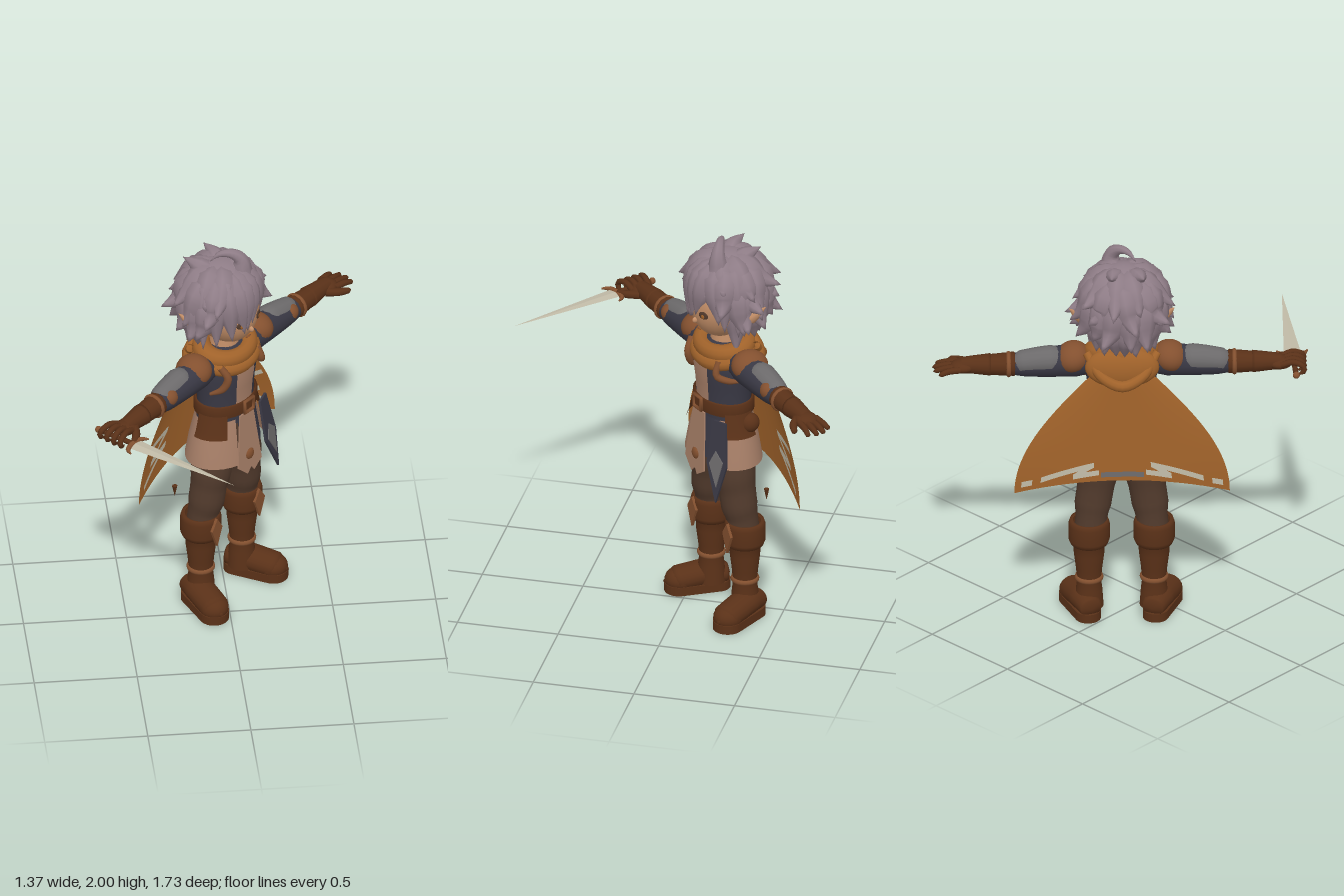
import * as THREE from 'three';
import { mergeVertices } from 'three/addons/utils/BufferGeometryUtils.js';

const mat = (name, color) => new THREE.MeshStandardMaterial({ name, color, side: THREE.DoubleSide });
const M = {
  hair: mat('mauve hair', 0x8f7d87), skin: mat('skin', 0xc48f68), orange: mat('orange cloth', 0xa0622a),
  leather: mat('dark leather', 0x5a3118), lightLeather: mat('light leather', 0x83502f), pants: mat('brown trousers', 0x513a2c),
  navy: mat('navy cloth', 0x393844), tan: mat('tan cloth', 0xa67e67), grey: mat('grey cloth', 0x6c6a6b),
  blade: mat('pale steel', 0xc0baa6),
};
const V = (p) => new THREE.Vector3(...p);

export function createModel() {
  const root = new THREE.Group();
  root.name = 'caped adventurer';
  const body = new THREE.Group();
  body.name = 'body';
  body.position.z = -0.2;
  body.rotation.y = Math.PI / 4;
  root.add(body);

  const add = (name, geo, m, pos = [0, 0, 0], scale = [1, 1, 1], rot = [0, 0, 0], parent = body) => {
    const mesh = new THREE.Mesh(geo, m);
    mesh.name = name;
    mesh.position.set(...pos); mesh.scale.set(...scale); mesh.rotation.set(...rot);
    parent.add(mesh);
    return mesh;
  };
  // Tube along points, with a radius for every point
  const limb = (pts, radii, seg = 12, sides = 10) => {
    const curve = new THREE.CatmullRomCurve3(pts.map(V));
    const g = new THREE.TubeGeometry(curve, seg, 1, sides);
    const p = g.attributes.position, v = new THREE.Vector3();
    for (let i = 0; i < p.count; i++) {
      const t = Math.floor(i / (sides + 1)) / seg;
      const f = curve.getUtoTmapping(t) * (radii.length - 1), k = Math.min(Math.floor(f), radii.length - 2);
      const r = THREE.MathUtils.lerp(radii[k], radii[k + 1], f - k), c = curve.getPointAt(t);
      v.fromBufferAttribute(p, i).sub(c).multiplyScalar(r).add(c);
      p.setXYZ(i, v.x, v.y, v.z);
    }
    g.deleteAttribute('uv'); g.deleteAttribute('normal');
    const out = mergeVertices(g, 1e-5);
    out.computeVertexNormals();
    return out;
  };
  const lathe = (pts, start = 0, len = Math.PI * 2) =>
    new THREE.LatheGeometry(pts.map((p) => new THREE.Vector2(...p)), 28, start, len);
  const ball = new THREE.SphereGeometry(1, 24, 16);
  const plate = (pts, depth) => new THREE.ExtrudeGeometry(
    new THREE.Shape(pts.map((p) => new THREE.Vector2(...p))), { depth, bevelEnabled: false });
  // Grid surface from fn(s, t)
  const sheet = (fn, n, m) => {
    const g = new THREE.PlaneGeometry(1, 1, n, m), p = g.attributes.position;
    for (let i = 0; i < p.count; i++) p.setXYZ(i, ...fn(p.getX(i) + 0.5, 0.5 - p.getY(i)));
    g.computeVertexNormals();
    return g;
  };
  let seed = 7;
  const rnd = () => { seed = (seed * 16807) % 2147483647; return seed / 2147483647 - 0.5; };

  // Torso, chest panel, tunic skirt and belt
  const flat = [1, 1, 0.77], skirtFlat = [1, 1, 0.74];
  add('tunic', lathe([[0.16, 1.05], [0.158, 1.15], [0.163, 1.25], [0.175, 1.33], [0.165, 1.4], [0.1, 1.46], [0, 1.48]]), M.navy, [0, 0, 0], flat);
  add('chestPanel', lathe([[0.164, 1.1], [0.163, 1.17], [0.169, 1.25], [0.181, 1.33], [0.17, 1.4]], -0.38, 0.72), M.tan, [0, 0, 0], flat);
  add('skirt', lathe([[0.23, 0.84], [0.208, 0.95], [0.172, 1.08]], 0.75, Math.PI * 2 - 1.15), M.tan, [0, 0, 0], skirtFlat);
  add('skirtLining', lathe([[0.2, 0.87], [0.165, 1.08]], -0.3, 1.2), M.navy, [0, 0, 0], skirtFlat);
  for (const start of [-1.7, 0.95])
    add('hipFlap', lathe([[0.215, 1.0], [0.203, 1.03], [0.18, 1.12]], start, 1.0), M.leather, [0, 0, 0], flat);
  add('belt', lathe([[0.165, 1.1], [0.178, 1.105], [0.178, 1.165], [0.165, 1.17]]), M.leather, [0, 0, 0], flat);
  add('buckle', new THREE.TorusGeometry(0.045, 0.01, 6, 4).rotateZ(Math.PI / 4), M.lightLeather, [0, 1.145, 0.147]);
  add('buckleCentre', new THREE.BoxGeometry(0.045, 0.04, 0.012), M.leather, [0, 1.145, 0.142]);
  add('frontPanel', plate([[-0.055, 0], [0.045, 0], [0.08, -0.3], [0.02, -0.34], [0, -0.31], [-0.03, -0.34], [-0.095, -0.28]], 0.008), M.tan, [0, 1.1, 0.13], [1, 1, 1], [-0.08, 0, 0]);
  add('panelMedallion', new THREE.SphereGeometry(0.03, 8, 6), M.lightLeather, [-0.005, 0.865, 0.157], [1, 1, 0.4]);
  const clothTurn = [-0.18, 0.3, 0.1];
  add('hipCloth', plate([[-0.03, 0], [0.045, 0], [0.07, -0.22], [0.02, -0.41], [-0.055, -0.22]], 0.012), M.navy, [0.14, 1.09, 0.105], [1, 1, 1], clothTurn);
  add('hipClothTip', plate([[0.0, -0.15], [0.05, -0.2], [0.02, -0.33], [-0.035, -0.22]], 0.006), M.grey, [0.14, 1.09, 0.105], [1, 1, 1], clothTurn).translateZ(0.011);
  add('pouch', ball, M.leather, [0.175, 1.06, -0.04], [0.045, 0.05, 0.05]);
  add('chestStrap', limb([[-0.15, 1.42, 0.09], [-0.13, 1.36, 0.122], [-0.14, 1.29, 0.098], [-0.165, 1.25, 0.04]], [0.016, 0.02, 0.018, 0.008]), M.lightLeather);
  add('chestStrap', limb([[0.12, 1.41, 0.1], [0.13, 1.34, 0.12], [0.16, 1.31, 0.07], [0.175, 1.3, 0.02]], [0.016, 0.018, 0.016, 0.008]), M.lightLeather);

  // Scarf and hood
  add('neck', new THREE.CylinderGeometry(0.065, 0.08, 0.15, 16), M.skin, [0, 1.47, -0.01]);
  const ring = new THREE.TorusGeometry(0.125, 0.05, 12, 32).rotateX(Math.PI / 2);
  add('scarf', ring, M.orange, [0, 1.445, -0.005], [1.04, 0.95, 0.84], [0.25, 0, 0]);
  add('scarfFold', ring, M.orange, [0, 1.415, 0.005], [1.12, 0.8, 0.88], [0.36, 0, 0]);
  add('hood', ball, M.orange, [0, 1.41, -0.115], [0.18, 0.105, 0.055], [0.15, 0, 0]);
  add('hoodRim', limb([[-0.17, 1.47, -0.08], [-0.1, 1.38, -0.155], [0, 1.335, -0.175], [0.1, 1.38, -0.155], [0.17, 1.47, -0.08]], [0.02, 0.026, 0.028, 0.026, 0.02], 20), M.orange);

  // Cape with pale zigzag trim on both faces
  const cape = (u, v, off = 0) => [
    u * (0.11 + 0.41 * Math.sin(v * Math.PI / 2)),
    1.41 - v * (0.59 + 0.1 * u * u),
    -0.115 - (0.025 + 0.04 * v) * (1 - u * u) + off];
  add('cape', sheet((s, t) => cape(s * 2 - 1, t), 24, 20), M.orange);
  const zigzag = (pts, off, m = M.blade) => {
    for (let i = 0; i < pts.length - 1; i++) {
      const [a, b] = [pts[i], pts[i + 1]];
      add('capeTrim', sheet((s, t) => cape(a[0] + (b[0] - a[0]) * s, a[1] + (b[1] - a[1]) * s + (t - 0.5) * 0.045, off), 6, 1), m);
    }
  };
  for (const s of [1, -1]) {
    zigzag([[0.95, 0.61], [0.58, 0.63], [0.84, 0.78], [0.56, 0.76], [0.92, 0.92]].map((p) => [p[0] * s, p[1]]), 0.005);
    zigzag([[0.94, 0.94], [0.84, 0.94]].map((p) => [p[0] * s, p[1]]), -0.005);
    zigzag([[0.76, 0.93], [0.27, 0.85], [0.46, 0.94], [0.22, 0.92]].map((p) => [p[0] * s, p[1]]), -0.005);
    add('capeCordTip', new THREE.ConeGeometry(0.014, 0.06, 6), M.leather, [s * 0.35, 0.75, -0.03], [1, 1, 1], [Math.PI, 0, 0]);
  }
  zigzag([[-0.2, 0.94], [0.2, 0.94]], -0.006, M.grey);

  // Limbs, mirrored left and right
  for (const s of [1, -1]) {
    const X = (pts) => pts.map(([x, y, z]) => [x * s, y, z]);
    add('sleeve', limb(X([[0.1, 1.39, 0], [0.22, 1.39, 0], [0.34, 1.38, 0], [0.46, 1.372, 0], [0.54, 1.37, 0]]), [0.06, 0.083, 0.074, 0.064, 0.05], 18, 14), M.navy);
    add('sleevePatch', limb(X([[0.28, 1.395, 0], [0.33, 1.4, -0.008], [0.41, 1.394, -0.008], [0.49, 1.383, -0.005], [0.53, 1.378, 0]]), [0.04, 0.069, 0.064, 0.057, 0.03], 12, 14), M.grey);
    add('elbowPatch', ball, M.lightLeather, [s * 0.46, 1.385, 0.022], [0.05, 0.047, 0.045]);
    add('shoulderPad', ball, M.lightLeather, [s * 0.235, 1.41, -0.005], [0.085, 0.075, 0.092], [0, 0, -0.3 * s]);
    add('forearm', limb(X([[0.49, 1.372, 0], [0.51, 1.372, 0], [0.6, 1.37, 0], [0.68, 1.37, 0], [0.76, 1.37, 0]]), [0, 0.06, 0.053, 0.046, 0.038], 18, 12), M.leather);
    add('gloveCuff', limb(X([[0.62, 1.37, 0], [0.63, 1.37, 0], [0.67, 1.37, 0], [0.72, 1.37, 0], [0.77, 1.367, 0]]), [0.02, 0.055, 0.05, 0.044, 0.04], 12, 12), M.leather);
    add('armBand', new THREE.TorusGeometry(0.052, 0.012, 8, 18), M.lightLeather, [s * 0.545, 1.37, 0], [1, 1, 1], [0, Math.PI / 2, 0]);
    // Hand: open on the left, gripping on the right
    add('palm', ball, M.leather, [s * 0.765, 1.365, 0], [0.062, 0.03, 0.056]);
    for (let i = 0; i < 4; i++) {
      const z = -0.045 + i * 0.03, len = [0.085, 0.11, 0.115, 0.1][i];
      add('finger', limb(X(s > 0
        ? [[0.78, 1.365, z], [0.8 + len * 0.45, 1.36, z * 1.15], [0.79 + len, 1.348, z * 1.35], [0.8 + len, 1.346, z * 1.38]]
        : [[0.77, 1.37, z], [0.83, 1.39, z * 1.2], [0.882, 1.365, z * 1.4], [0.87, 1.335, z * 1.4], [0.84, 1.33, z * 1.3]]),
      s > 0 ? [0.017, 0.016, 0.012, 0] : [0.016, 0.015, 0.014, 0.012, 0], 10, 8), M.leather);
    }
    add('thumb', limb(X([[0.73, 1.36, 0.03], [0.775, 1.355, 0.075], [0.825, 1.35, 0.1], [0.835, 1.35, 0.104]]), [0.022, 0.02, 0.014, 0], 10, 8), M.leather);

    // Leg, boot and foot
    add('trouserLeg', limb(X([[0.085, 1.02, 0], [0.098, 0.86, 0], [0.115, 0.76, 0.005], [0.125, 0.69, 0], [0.138, 0.6, -0.005], [0.145, 0.54, -0.015], [0.15, 0.46, -0.02]]), [0.08, 0.102, 0.1, 0.09, 0.089, 0.077, 0.08], 24, 16), M.pants);
    add('boot', lathe([[0.07, 0.05], [0.064, 0.14], [0.058, 0.19], [0.064, 0.26], [0.074, 0.34], [0.076, 0.4], [0.09, 0.395], [0.1, 0.42], [0.1, 0.5], [0.092, 0.525], [0.078, 0.52]]), M.leather, [s * 0.157, 0, -0.025]);
    add('ankleStrap', new THREE.TorusGeometry(0.058, 0.012, 8, 24), M.lightLeather, [s * 0.157, 0.205, -0.025], [1, 1, 1.2], [Math.PI / 2, 0, 0]);
    add('kneePlate', plate([[0, 0.07], [0.038, 0.01], [0, -0.09], [-0.038, 0.01]], 0.014), M.lightLeather, [s * 0.163, 0.46, 0.07]);
    const foot = new THREE.Group();
    foot.name = 'foot';
    foot.position.set(s * 0.165, 0, -0.06);
    foot.rotation.y = 0.34 * s;
    body.add(foot);
    add('shoe', limb([[0, 0.08, -0.065], [0, 0.08, -0.05], [0, 0.095, 0.04], [0, 0.082, 0.13], [0, 0.07, 0.2], [0, 0.06, 0.265]], [0, 0.052, 0.07, 0.07, 0.068, 0], 24, 16), M.leather, [0, 0, 0], [1.05, 0.9, 1], [0, 0, 0], foot);
    add('toeCap', ball, M.leather, [0, 0.06, 0.18], [0.072, 0.06, 0.076], [0, 0, 0], foot);
    const sole = new THREE.Shape();
    sole.absarc(0, -0.185, 0.072, Math.PI, Math.PI * 2, false);
    sole.absarc(0, 0.005, 0.062, 0, Math.PI, false);
    add('sole', new THREE.ExtrudeGeometry(sole, { depth: 0.045, bevelEnabled: false }).rotateX(-Math.PI / 2), M.leather, [0, 0, 0], [1, 1, 1], [0, 0, 0], foot);

    // Ears and eyes
    add('ear', limb(X([[0.14, 1.62, -0.01], [0.185, 1.64, -0.03], [0.225, 1.68, -0.06], [0.255, 1.72, -0.085]]), [0.03, 0.035, 0.02, 0], 10, 8), M.skin);
    add('eye', ball, M.pants, [s * 0.064, 1.648, 0.153], [0.027, 0.02, 0.005], [0, 0.4 * s, 0]);
    add('iris', ball, M.orange, [s * 0.064, 1.643, 0.157], [0.01, 0.012, 0.004], [0, 0.4 * s, 0]);
  }

  // Head, narrowing to the chin
  const headGeo = ball.clone(), hp = headGeo.attributes.position;
  for (let i = 0; i < hp.count; i++) {
    const k = Math.max(0, -hp.getY(i));
    hp.setX(i, hp.getX(i) * (1 - 0.2 * k));
    hp.setZ(i, hp.getZ(i) + 0.1 * k);
  }
  headGeo.computeVertexNormals();
  add('head', headGeo, M.skin, [0, 1.665, -0.005], [0.172, 0.18, 0.168]);
  add('nose', ball, M.skin, [0, 1.598, 0.16], [0.011, 0.015, 0.016]);
  add('mouth', ball, M.lightLeather, [0, 1.548, 0.142], [0.02, 0.003, 0.005]);

  // Hair: a tilted cap with layers of broad pointed locks
  const C = [-0.01, 1.72, -0.03];
  add('hairCap', new THREE.SphereGeometry(1, 28, 16, 0, Math.PI * 2, 0, Math.PI * 0.56).scale(0.205, 0.208, 0.205), M.hair, C, [1, 1, 1], [-0.4, 0, 0]);
  const lock = (a, path, radii, twist = 0) => add('hairLock', limb(path.map(([r, y], i) => {
    const b = a + twist * i * 0.33;
    return [C[0] + Math.sin(b) * r, C[1] + y, C[2] + Math.cos(b) * r];
  }), radii, 11, 9), M.hair);
  const layers = [
    [9, 1.5, [[0.12, 0.05], [0.14, -0.04], [0.14, -0.13], [0.15, -0.245]], [0.06, 0.075, 0.06, 0]],
    [10, 1.25, [[0.1, 0.1], [0.152, 0.02], [0.178, -0.07], [0.245, -0.15]], [0.05, 0.076, 0.06, 0]],
    [9, 1.0, [[0.06, 0.12], [0.14, 0.09], [0.18, 0.01], [0.27, -0.05]], [0.05, 0.075, 0.06, 0]],
    [8, 0.7, [[0.0, 0.13], [0.09, 0.13], [0.155, 0.09], [0.25, 0.05]], [0.06, 0.075, 0.06, 0]],
  ];
  for (const [n, gap, path, radii] of layers)
    for (let i = 0; i < n; i++) {
      const j = rnd() * 0.06, out = rnd() * 0.05;
      lock(gap + (Math.PI * 2 - 2 * gap) * i / (n - 1) + rnd() * 0.2,
        path.map(([r, y], k) => [r + (k === 3 ? out : 0), y + (k === 3 ? j : 0)]), radii, rnd() * 0.7);
    }
  // Fringe, parted above the left eye
  for (const [a, drop, twist] of [[-1.4, 0.2, 0.1], [-1.05, 0.18, 0.1], [-0.7, 0.15, 0.15], [-0.35, 0.125, 0.15], [0, 0.115, -0.1],
    [0.33, 0.09, -0.25], [0.5, 0.11, 0.3], [0.85, 0.15, 0.1], [1.2, 0.18, 0.1]])
    lock(a, [[0.02, 0.13], [0.125, 0.1], [0.162, 0.01], [0.195, -drop]], [0.06, 0.075, 0.06, 0], twist);
  add('hairTuft', limb([[0.05, 1.87, 0.06], [0.045, 1.94, 0.06], [0.01, 1.98, 0.03], [-0.035, 1.982, -0.01], [-0.07, 1.945, -0.04]], [0.055, 0.036, 0.024, 0.014, 0], 14, 8), M.hair);
  for (const [x, z] of [[0.04, -0.1], [-0.08, -0.1]])
    add('hairTuft', limb([[x * 0.5, 1.85, z * 0.5], [x, 1.9, z], [x * 1.3, 1.93, z * 1.8]], [0.06, 0.045, 0], 8, 8), M.hair);

  // Dagger held in the right hand
  const sword = new THREE.Group();
  sword.name = 'sword';
  sword.position.set(-0.835, 1.347, 0);
  sword.rotation.y = 0.06;
  body.add(sword);
  const blade = new THREE.ConeGeometry(0.042, 0.595, 4).rotateX(Math.PI / 2).scale(1, 0.14, 1).toNonIndexed();
  blade.computeVertexNormals();
  add('blade', blade, M.blade, [0, 0, 0.4075], [1, 1, 1], [0, 0, 0], sword);
  add('grip', new THREE.CylinderGeometry(0.013, 0.013, 0.2, 10).rotateX(Math.PI / 2), M.leather, [0, 0, 0], [1, 1, 1], [0, 0, 0], sword);
  add('guard', limb([[-0.075, 0, 0.14], [-0.055, 0, 0.11], [0, 0, 0.1], [0.055, 0, 0.11], [0.075, 0, 0.14]], [0.004, 0.012, 0.015, 0.012, 0.004], 14, 8), M.lightLeather, [0, 0, 0], [1, 1, 1], [0, 0, 0], sword);
  add('pommel', ball, M.lightLeather, [0, 0, -0.105], [0.017, 0.017, 0.017], [0, 0, 0], sword);

  return root;
}
